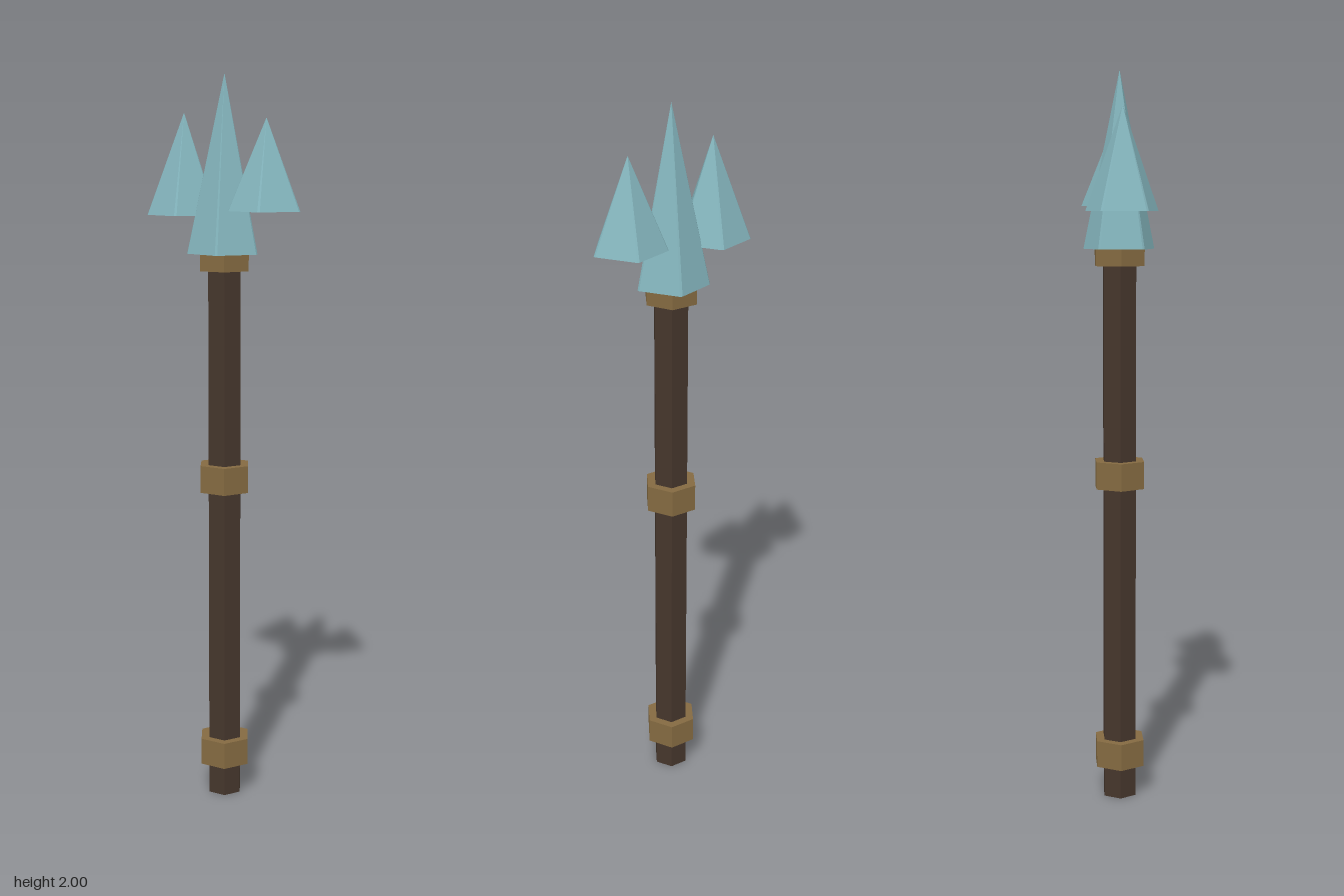
import * as THREE from 'three';

const blade = new THREE.MeshStandardMaterial({ color: 0x84b5bd, flatShading: true });
const wood = new THREE.MeshStandardMaterial({ color: 0x45362c, flatShading: true });
const brass = new THREE.MeshStandardMaterial({ color: 0x846a41, flatShading: true });

const AXIS_X = -0.01;

// Six-sided prism between two heights, with corners on +x and -x
function hexPrism(name, radius, y0, y1, material) {
  const geometry = new THREE.CylinderGeometry(radius, radius, y1 - y0, 6);
  geometry.rotateY(Math.PI / 2);
  const mesh = new THREE.Mesh(geometry, material);
  mesh.name = name;
  mesh.position.set(AXIS_X, (y0 + y1) / 2, 0);
  return mesh;
}

// Five-sided spike with narrow chamfered ridges, one ridge pointing to +x
function spike(name, x, y0, y1) {
  const geometry = new THREE.ConeGeometry(0.1, y1 - y0, 10);
  const p = geometry.attributes.position;
  const step = Math.PI / 5;
  const chamfer = THREE.MathUtils.degToRad(2);
  for (let i = 0; i < p.count; i++) {
    const r = Math.hypot(p.getX(i), p.getZ(i));
    const j = Math.round(Math.atan2(p.getX(i), p.getZ(i)) / step);
    // Draw neighbouring corners together in pairs
    const a = Math.floor(j / 2) * 2 * step + (j % 2 ? chamfer : -chamfer);
    p.setX(i, r * Math.cos(a));
    p.setZ(i, -r * Math.sin(a));
  }
  geometry.computeVertexNormals();
  const mesh = new THREE.Mesh(geometry, blade);
  mesh.name = name;
  mesh.position.set(x, (y0 + y1) / 2, 0);
  return mesh;
}

export function createModel() {
  const group = new THREE.Group();
  group.name = 'trident';

  group.add(hexPrism('shaft', 0.05, 0, 1.54, wood));

  // Bands around the shaft
  const bands = { lowerBand: 0.09, middleBand: 0.88, upperBand: 1.485 };
  for (const [name, y] of Object.entries(bands)) {
    group.add(hexPrism(name, 0.075, y, y + 0.075, brass));
  }

  // Three prongs
  group.add(spike('centreProng', AXIS_X, 1.53, 2));
  group.add(spike('rightProng', -0.136, 1.63, 1.9));
  group.add(spike('leftProng', 0.117, 1.645, 1.885));

  return group;
}
